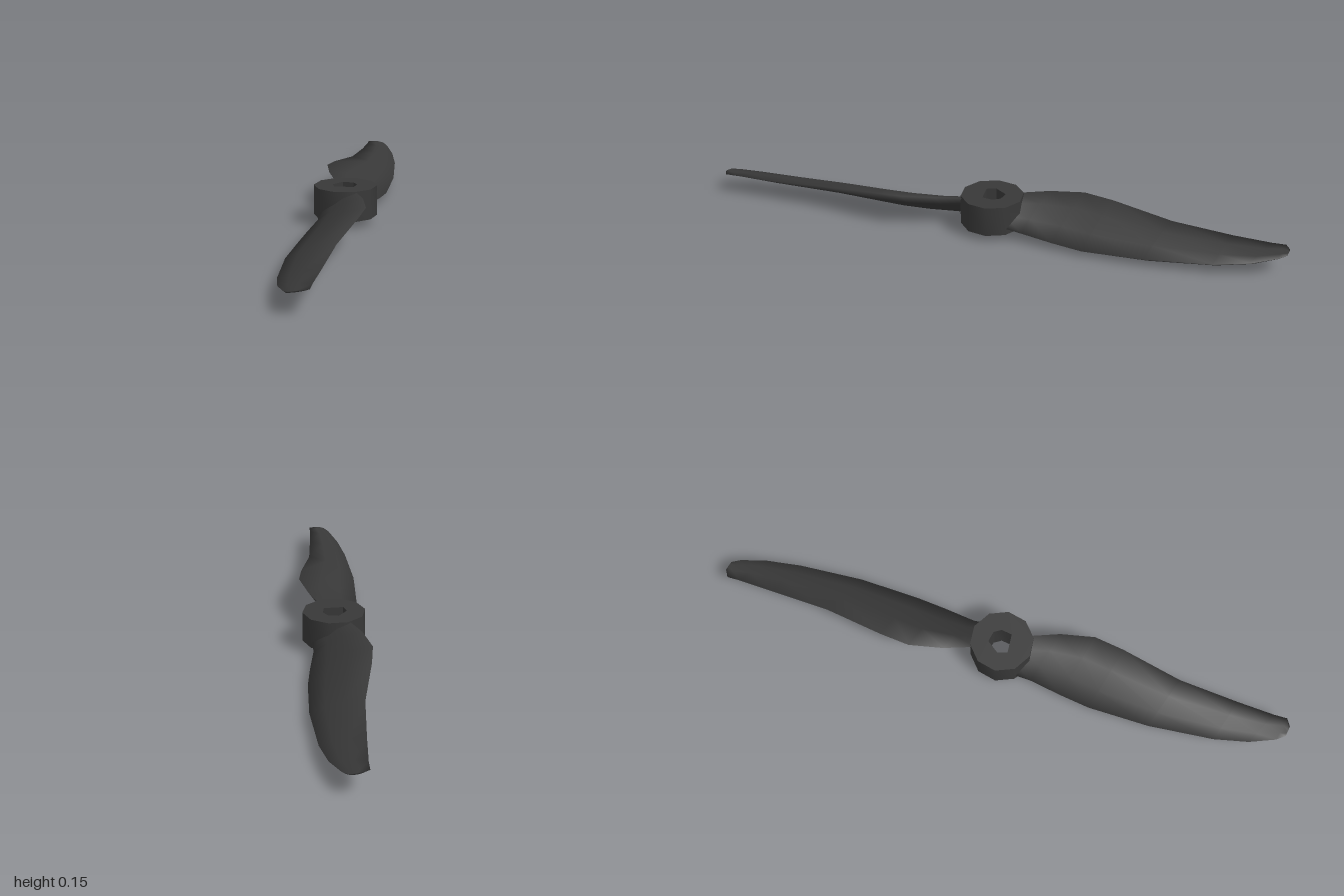
import * as THREE from 'three';
import { toCreasedNormals } from 'three/addons/utils/BufferGeometryUtils.js';

const material = new THREE.MeshStandardMaterial({ color: 0x383838 });

// Blade stations: low edge (x, y, z), high edge (x, y, z), thickness
const stations = [
  [-0.05, 0.06, 0.09, 0.09, 0.145, 0.05, 0.04],
  [0.0, 0.043, 0.17, 0.19, 0.15, 0.13, 0.05],
  [0.05, 0.032, 0.29, 0.283, 0.15, 0.23, 0.058],
  [0.10, 0.024, 0.40, 0.333, 0.14, 0.34, 0.06],
  [0.22, 0.033, 0.61, 0.42, 0.11, 0.57, 0.05],
  [0.37, 0.044, 0.82, 0.53, 0.094, 0.78, 0.034],
  [0.46, 0.058, 0.92, 0.60, 0.09, 0.91, 0.022],
  [0.54, 0.075, 0.985, 0.628, 0.09, 0.955, 0.012],
  [0.575, 0.083, 1.0, 0.612, 0.088, 0.985, 0.006],
];

// Aerofoil section: position along the chord, offset in thicknesses
const section = [
  [0, 0], [0.3, 0.2], [0.65, 0.3], [1, 0],
  [0.75, -0.4], [0.45, -0.6], [0.12, -0.7],
];

// Twisted blade: sections joined along the span
function bladeGeometry() {
  const positions = [], index = [], ring = section.length;
  const span = new THREE.Vector3(0.53, 0, 0.85);
  for (const [lx, ly, lz, hx, hy, hz, thickness] of stations) {
    const low = new THREE.Vector3(lx, ly, lz);
    const high = new THREE.Vector3(hx, hy, hz);
    const normal = span.clone().cross(high.clone().sub(low)).normalize();
    for (const [u, offset] of section) {
      const p = low.clone().lerp(high, u).addScaledVector(normal, offset * thickness);
      positions.push(p.x, p.y, p.z);
    }
  }
  for (let i = 0; i < stations.length - 1; i++) {
    for (let k = 0; k < ring; k++) {
      const a = i * ring + k, b = i * ring + (k + 1) % ring;
      index.push(a, a + ring, b, b, a + ring, b + ring);
    }
  }
  // Tip cap
  const tip = (stations.length - 1) * ring;
  for (let k = 1; k < ring - 1; k++) index.push(tip, tip + k + 1, tip + k);
  const geometry = new THREE.BufferGeometry();
  geometry.setAttribute('position', new THREE.Float32BufferAttribute(positions, 3));
  geometry.setIndex(index);
  geometry.computeVertexNormals();
  return geometry;
}

// Ten-sided, smoothly shaded hub with an irregular shaft hole
function hubGeometry() {
  const outline = [];
  for (let i = 0; i < 10; i++) {
    const a = i / 10 * Math.PI * 2;
    outline.push(new THREE.Vector2(0.125 * Math.cos(a), 0.125 * Math.sin(a)));
  }
  const shape = new THREE.Shape(outline);
  const hole = [[-0.04, -0.035], [0, -0.05], [0.03, -0.035], [0.047, 0.005], [-0.015, 0.05], [-0.045, 0.025]];
  shape.holes.push(new THREE.Path(hole.map(([x, y]) => new THREE.Vector2(x, y))));
  const geometry = new THREE.ExtrudeGeometry(shape, { depth: 0.12, bevelEnabled: false });
  geometry.rotateX(Math.PI / 2).translate(0, 0.15, 0);
  return toCreasedNormals(geometry, 0.8);
}

export function createModel() {
  const propeller = new THREE.Group();
  propeller.name = 'propeller';

  const hub = new THREE.Mesh(hubGeometry(), material);
  hub.name = 'hub';
  propeller.add(hub);

  // Two identical blades, half a turn apart
  const geometry = bladeGeometry();
  ['frontBlade', 'rearBlade'].forEach((name, i) => {
    const blade = new THREE.Mesh(geometry, material);
    blade.name = name;
    blade.rotation.y = i * Math.PI;
    propeller.add(blade);
  });
  return propeller;
}
